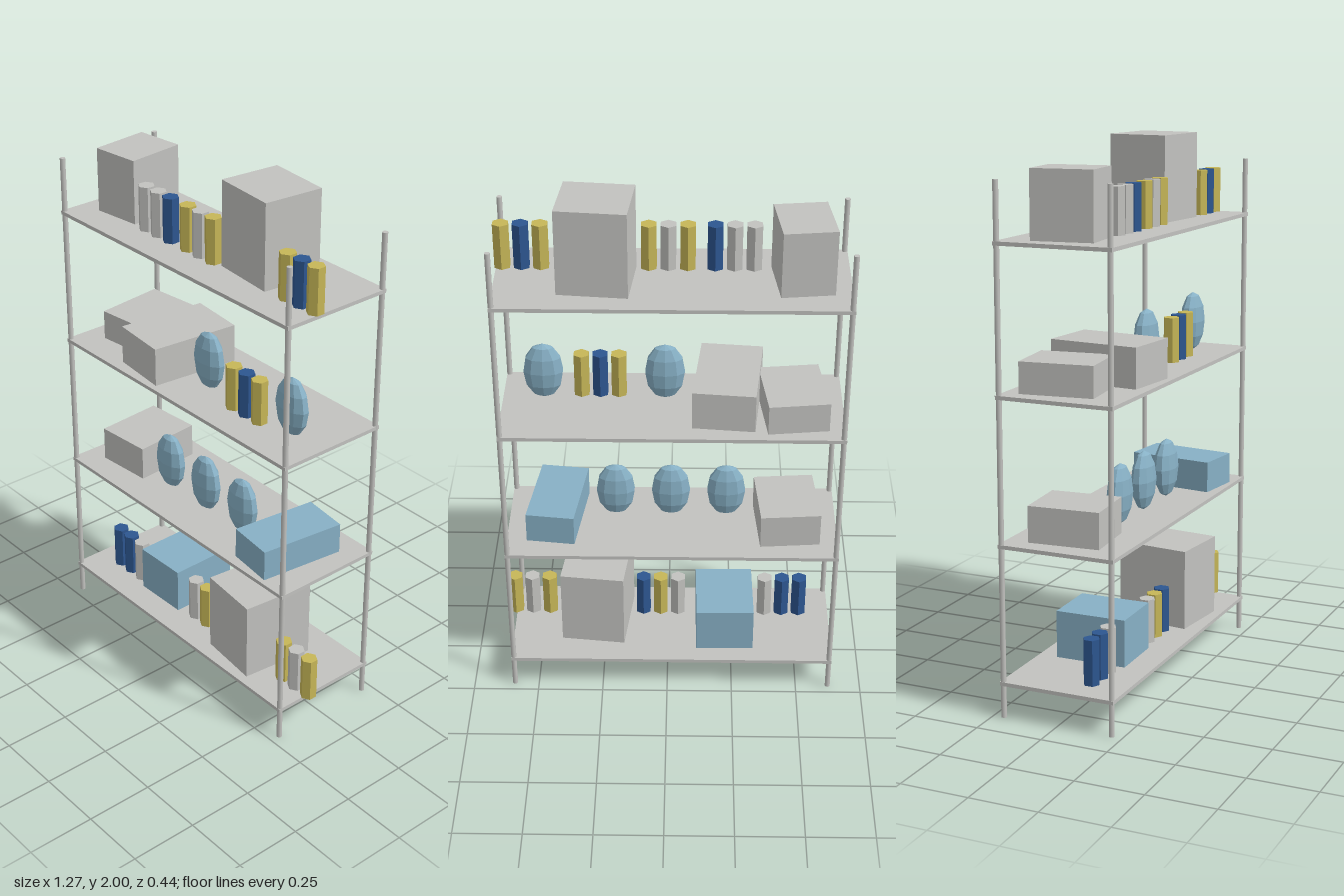
import * as THREE from 'three';

const paint = (name, color) => {
  const m = new THREE.MeshStandardMaterial({ color });
  m.name = name;
  return m;
};

export function createModel() {
  const model = new THREE.Group();
  model.name = 'stockedShelf';
  const grey = paint('grey', 0xc2c2bf);
  const yellow = paint('yellow', 0xc6b657);
  const navy = paint('navy', 0x2d5690);
  const sky = paint('skyBlue', 0x87b0c5);

  const add = (name, geo, mat, x, y, z, turn = 0) => {
    const mesh = new THREE.Mesh(geo, mat);
    mesh.name = name;
    mesh.position.set(x, y, z);
    mesh.rotation.y = turn;
    model.add(mesh);
    return mesh;
  };

  // Four upright posts
  const postGeo = new THREE.CylinderGeometry(0.01, 0.01, 1.89, 10);
  for (const x of [-0.625, 0.593])
    for (const z of [-0.21, 0.21]) add('post', postGeo, grey, x, 0.945, z);

  // Shelf boards, listed by their top height
  const tops = [0.133, 0.635, 1.161, 1.685];
  const boardGeo = new THREE.BoxGeometry(1.237, 0.014, 0.44);
  for (const y of tops) add('shelfBoard', boardGeo, grey, -0.0165, y - 0.007, 0);

  // Cartons: shelf, x, z, width, height, depth, turn, material
  const cartons = [
    [3, -0.467, -0.01, 0.188, 0.241, 0.225, 0.115, grey],
    [3, 0.246, -0.02, 0.249, 0.315, 0.228, -0.096, grey],
    [2, -0.452, -0.038, 0.22, 0.113, 0.27, 0.115, grey],
    [2, -0.217, 0.013, 0.226, 0.147, 0.346, -0.098, grey],
    [1, -0.447, -0.013, 0.223, 0.132, 0.264, 0.078, grey],
    [1, 0.417, 0.027, 0.181, 0.117, 0.33, -0.12, sky],
    [0, -0.22, -0.015, 0.219, 0.177, 0.27, 0.015, sky],
    [0, 0.274, 0.031, 0.243, 0.307, 0.285, -0.108, grey],
  ];
  for (const [s, x, z, w, h, d, turn, mat] of cartons)
    add('carton', new THREE.BoxGeometry(w, h, d), mat, x, tops[s] + h / 2, z, turn);

  // Six-sided cans in rows of three: shelf, middle x, materials
  const canGeo = new THREE.CylinderGeometry(0.031, 0.031, 0.168, 6).toNonIndexed();
  canGeo.computeVertexNormals();
  const canRows = [
    [3, -0.232, [grey, grey, navy]],
    [3, -0.001, [yellow, grey, yellow]],
    [3, 0.512, [yellow, navy, yellow]],
    [2, 0.247, [yellow, navy, yellow]],
    [0, -0.449, [navy, navy, grey]],
    [0, 0.029, [grey, yellow, navy]],
    [0, 0.537, [yellow, grey, yellow]],
  ];
  for (const [s, x, mats] of canRows)
    mats.forEach((mat, i) => add('can', canGeo, mat, x + (i - 1) * 0.068, tops[s] + 0.084, 0.082));

  // Flattened faceted sacks
  const sackGeo = new THREE.SphereGeometry(1, 10, 6)
    .rotateY(Math.PI / 2)
    .scale(0.075, 0.112, 0.04)
    .toNonIndexed();
  sackGeo.computeVertexNormals();
  const sacks = [[2, 0.011], [2, 0.452], [1, -0.22], [1, -0.011], [1, 0.198]];
  for (const [s, x] of sacks) add('sack', sackGeo, sky, x, tops[s] + 0.112, 0.055);

  return model;
}
